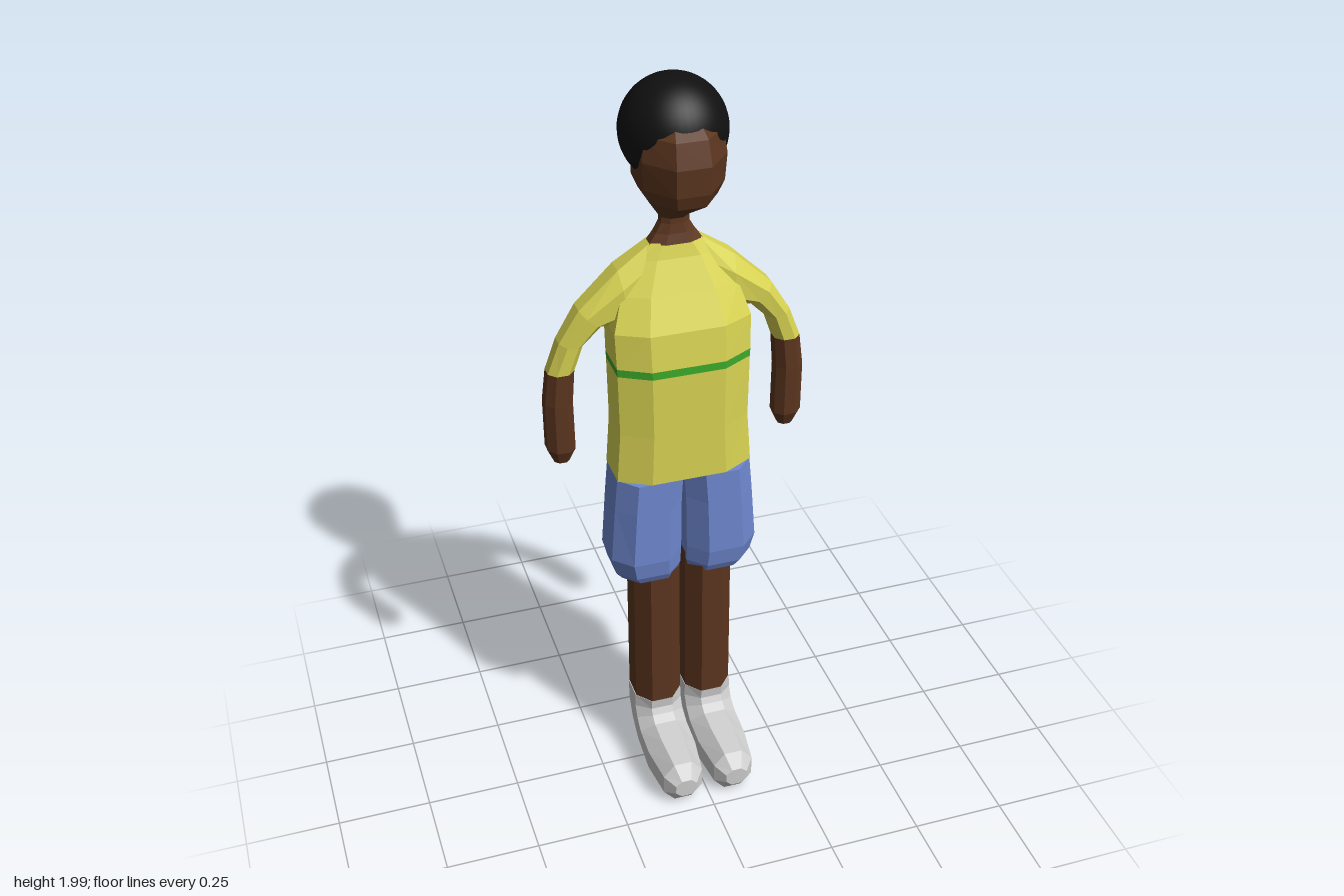
import * as THREE from 'three';

const V = (x, y, z) => new THREE.Vector3(x, y, z);
const mat = (name, color) => {
  const m = new THREE.MeshStandardMaterial({ color });
  m.name = name;
  return m;
};

// Chamfered eight-sided section: centre c, half axes u and v, corner position k
function section(c, u, v, k = 0.45) {
  return [[1, -k], [1, k], [k, 1], [-k, 1], [-1, k], [-1, -k], [-k, -1], [k, -1]]
    .map(([a, b]) => c.clone().addScaledVector(u, a).addScaledVector(v, b));
}

// Horizontal section from x and z limits
const level = (y, x0, x1, zf, zb, k) =>
  section(V((x0 + x1) / 2, y, (zf + zb) / 2), V((x1 - x0) / 2, 0, 0), V(0, 0, (zf - zb) / 2), k);

// Section spanning two opposite points, with a half width along a third direction
const span = (p, q, w, k) =>
  section(p.clone().add(q).multiplyScalar(0.5), p.clone().sub(q).multiplyScalar(0.5), w, k);

// Flat-faced closed skin through a list of sections, always facing outward
function loft(rings) {
  const tris = [];
  const n = rings[0].length;
  for (let i = 0; i + 1 < rings.length; i++) {
    for (let j = 0; j < n; j++) {
      const a = rings[i][j], b = rings[i][(j + 1) % n];
      const c = rings[i + 1][(j + 1) % n], d = rings[i + 1][j];
      tris.push([a, b, c], [a, c, d]);
    }
  }
  const first = rings[0], last = rings[rings.length - 1];
  for (let j = 1; j + 1 < n; j++) {
    tris.push([first[0], first[j + 1], first[j]], [last[0], last[j], last[j + 1]]);
  }
  let volume = 0;
  for (const [a, b, c] of tris) volume += a.dot(b.clone().cross(c));
  const points = tris.flatMap(([a, b, c]) => (volume < 0 ? [a, c, b] : [a, b, c]));
  const g = new THREE.BufferGeometry().setFromPoints(points);
  g.computeVertexNormals();
  return g;
}

export function createModel() {
  const model = new THREE.Group();
  model.name = 'standingFigure';
  const skin = mat('skin brown', 0x5c361f);
  const yellow = mat('shirt yellow', 0xd9d453);
  const green = mat('stripe green', 0x3dab2c);
  const blue = mat('shorts blue', 0x6f88d0);
  const grey = mat('shoe grey', 0xd0d0d0);
  const black = mat('hair black', 0x101010);

  const add = (name, geometry, material) => {
    const mesh = new THREE.Mesh(geometry, material);
    mesh.name = name;
    model.add(mesh);
  };
  const body = (list, k) => loft(list.map(([y, w, zf, zb]) => level(y, -w, w, zf, zb, k)));

  // Head, hair and neck
  add('head', body([
    [1.65, 0.037, -0.07, -0.128], [1.67, 0.05, -0.045, -0.145], [1.725, 0.085, 0.045, -0.18],
    [1.76, 0.1, 0.058, -0.19], [1.83, 0.104, 0.063, -0.185], [1.89, 0.095, 0.045, -0.17],
    [1.925, 0.07, 0.0, -0.15],
  ], 0.41), skin);
  const hair = new THREE.SphereGeometry(0.132, 40, 28);
  hair.translate(0, 1.868, -0.1);
  add('hair', hair, black);
  add('neck', body([
    [1.69, 0.034, -0.072, -0.125], [1.635, 0.036, -0.072, -0.125],
    [1.61, 0.05, -0.069, -0.126], [1.585, 0.068, -0.062, -0.13],
  ]), skin);

  // Shirt with a painted chest stripe
  add('shirtTop', body([
    [1.598, 0.055, -0.069, -0.126], [1.55, 0.1, -0.057, -0.135], [1.47, 0.15, -0.022, -0.15],
    [1.385, 0.176, 0.017, -0.16], [1.291, 0.174, 0.027, -0.164],
  ], 0.55), yellow);
  add('chestStripe', body([
    [1.291, 0.174, 0.027, -0.164], [1.27, 0.173, 0.027, -0.164],
  ], 0.55), green);
  add('shirtBottom', body([
    [1.27, 0.173, 0.027, -0.164], [1.1, 0.17, 0.028, -0.165], [0.96, 0.18, 0.028, -0.165],
  ], 0.55), yellow);

  for (const [side, s] of [['left', 1], ['right', -1]]) {
    // Arms: outer x, y, inner x, y, half depth
    const arm = (list) => loft(list.map(([ox, oy, ix, iy, d]) =>
      span(V(s * ox, oy, -0.1), V(s * ix, iy, -0.1), V(0, 0, d))));
    add(side + 'Sleeve', arm([
      [0.05, 1.598, 0.06, 1.4, 0.035], [0.15, 1.53, 0.13, 1.385, 0.055],
      [0.25, 1.435, 0.195, 1.383, 0.048], [0.302, 1.35, 0.242, 1.335, 0.04],
      [0.333, 1.268, 0.265, 1.268, 0.036],
    ]), yellow);
    add(side + 'Forearm', arm([
      [0.333, 1.268, 0.265, 1.268, 0.036], [0.344, 1.18, 0.272, 1.18, 0.037],
      [0.343, 1.045, 0.27, 1.04, 0.037], [0.325, 1.003, 0.285, 1.003, 0.02],
    ]), skin);

    // Shorts and legs: y, inner x, outer x, front z, back z
    const limb = (list, k) => loft(list.map(([y, xi, xo, zf, zb]) => level(y, s * xi, s * xo, zf, zb, k)));
    add(side + 'ShortsLeg', limb([
      [0.96, 0, 0.18, 0.028, -0.165], [0.87, 0.006, 0.188, 0.028, -0.165],
      [0.71, 0.008, 0.2, 0.028, -0.165], [0.66, 0.009, 0.188, 0.02, -0.16],
      [0.637, 0.014, 0.17, 0.008, -0.146],
    ], 0.5), blue);
    add(side + 'Leg', limb([
      [0.68, 0.008, 0.137, 0.006, -0.143], [0.21, 0.008, 0.137, 0.006, -0.143],
    ]), skin);

    // Shoes: front or top z, y, back or sole z, y, half width
    add(side + 'Shoe', loft([
      [0.006, 0.21, -0.143, 0.21, 0.066], [0.003, 0.18, -0.135, 0.15, 0.067],
      [0.012, 0.162, -0.1, 0.085, 0.067], [0.035, 0.148, -0.03, 0.037, 0.068],
      [0.1, 0.143, 0.085, 0.01, 0.068], [0.195, 0.135, 0.195, 0.01, 0.055],
      [0.228, 0.1, 0.226, 0.045, 0.03],
    ].map(([fz, fy, bz, by, w]) =>
      span(V(s * 0.073, fy, fz), V(s * 0.073, by, bz), V(w, 0, 0)))), grey);
  }
  return model;
}
